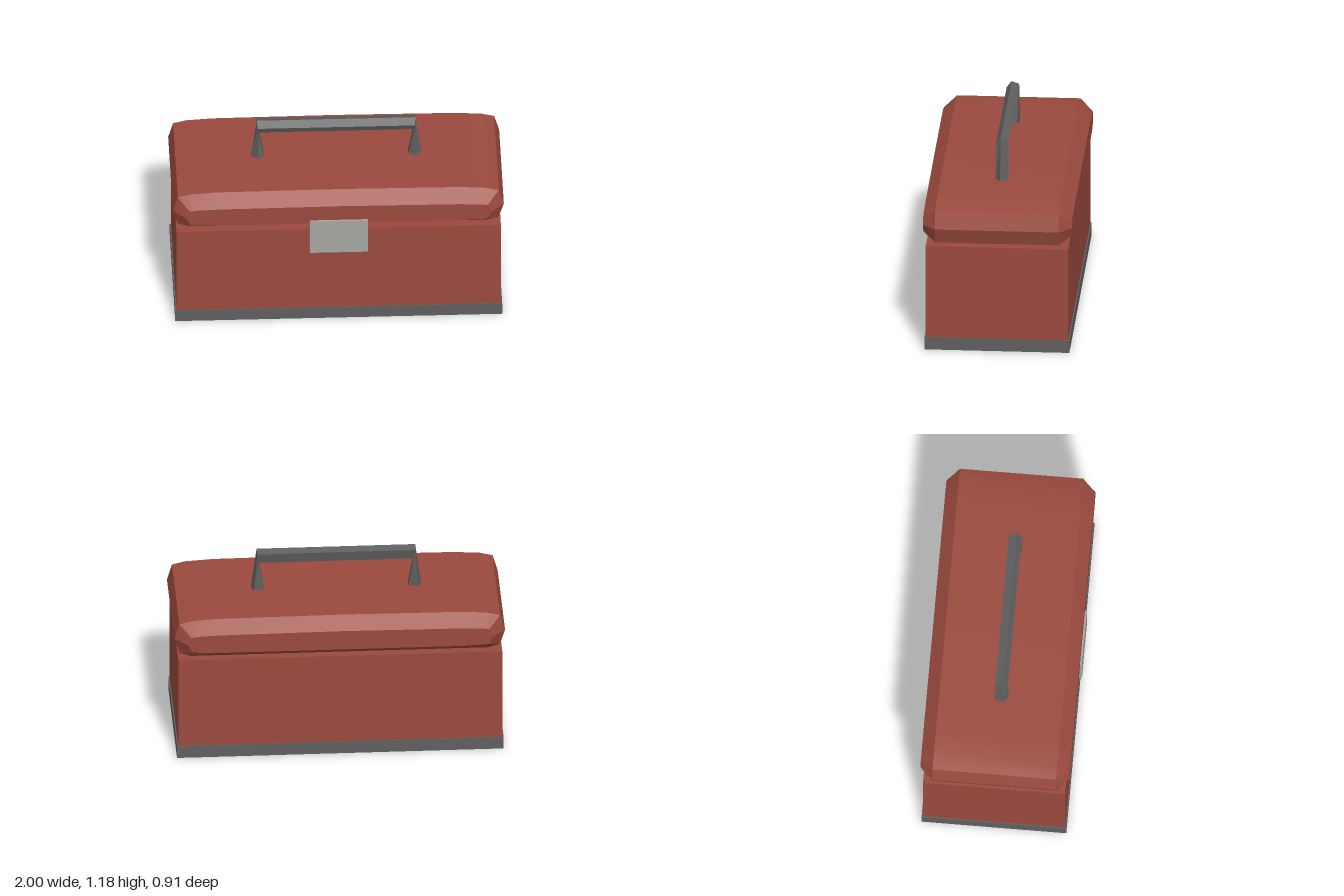
import * as THREE from 'three';
import { toCreasedNormals } from 'three/addons/utils/BufferGeometryUtils.js';

// Skin through closed rings of [x, y, z] points, with fan caps on both ends.
function loft(rings, crease) {
  const pos = [];
  const tri = (a, b, c) => pos.push(...a, ...b, ...c);
  const n = rings[0].length;
  for (let i = 0; i < rings.length - 1; i++) {
    for (let j = 0; j < n; j++) {
      const k = (j + 1) % n;
      const [a, b, c, d] = [rings[i][j], rings[i][k], rings[i + 1][j], rings[i + 1][k]];
      tri(a, c, b);
      tri(b, c, d);
    }
  }
  const cap = (ring, flip) => {
    const mid = [0, 1, 2].map((q) => ring.reduce((s, p) => s + p[q], 0) / n);
    ring.forEach((p, j) => {
      const next = ring[(j + 1) % n];
      if (flip) tri(mid, next, p);
      else tri(mid, p, next);
    });
  };
  cap(rings[0], false);
  cap(rings[rings.length - 1], true);
  const geo = new THREE.BufferGeometry();
  geo.setAttribute('position', new THREE.Float32BufferAttribute(pos, 3));
  geo.computeVertexNormals();
  return toCreasedNormals(geo, crease);
}

export function createModel() {
  const red = new THREE.MeshStandardMaterial({ color: 0x9b4a3e });
  red.name = 'red paint';
  const darkGrey = new THREE.MeshStandardMaterial({ color: 0x5f5f5f });
  darkGrey.name = 'dark grey metal';
  const lightGrey = new THREE.MeshStandardMaterial({ color: 0xa5a5a1 });
  lightGrey.name = 'light grey metal';

  const group = new THREE.Group();
  const add = (name, geo, mat) => {
    const mesh = new THREE.Mesh(geo, mat);
    mesh.name = name;
    group.add(mesh);
  };
  const box = (name, mat, [x0, x1], [y0, y1], [z0, z1]) => {
    const geo = new THREE.BoxGeometry(x1 - x0, y1 - y0, z1 - z0);
    geo.translate((x0 + x1) / 2, (y0 + y1) / 2, (z0 + z1) / 2);
    add(name, geo, mat);
  };

  // Box body, base band and front latch
  box('body', red, [-0.98, 0.98], [0, 0.668], [-0.435, 0.427]);
  box('baseBand', darkGrey, [-0.988, 0.988], [0.002, 0.08], [-0.443, 0.434]);
  box('latch', lightGrey, [-0.175, 0.175], [0.512, 0.748], [0.42, 0.459]);

  // Pillow-shaped lid: a mirrored outline with chamfered front and back faces
  const outline = (half) => [
    ...half,
    ...half.slice(0, -1).reverse().map(([x, y]) => [-x, y]),
  ];
  const outer = outline([[0.9, 0.667], [0.97, 0.69], [1, 0.785], [0.97, 0.887], [0.89, 0.907], [0.73, 0.917], [0, 0.922]]);
  const inner = outline([[0.74, 0.724], [0.895, 0.732], [0.925, 0.785], [0.9, 0.833], [0.86, 0.84], [0.72, 0.845], [0, 0.85]]);
  const at = (pts, z) => pts.map(([x, y]) => [x, y, z]);
  add('lid', loft([at(inner, 0.447), at(outer, 0.37), at(outer, -0.378), at(inner, -0.455)], 0.3), red);

  // Five-sided carrying handle: flat feet turning sharply into the bar
  const section = [[0.008, 0.04], [-0.039, 0.025], [-0.025, -0.04], [0.02, -0.04], [0.037, 0]];
  const foot = (s) => section.map(([u, v]) => [s * (0.475 + v), 0.912, u * 1.1]);
  const barEnd = (s) => section.map(([u, v]) => [s * (0.475 + v * 0.12), 1.14 + v, u]);
  add('handle', loft([foot(-1), barEnd(-1), barEnd(1), foot(1)], 0.1), darkGrey);

  return group;
}
